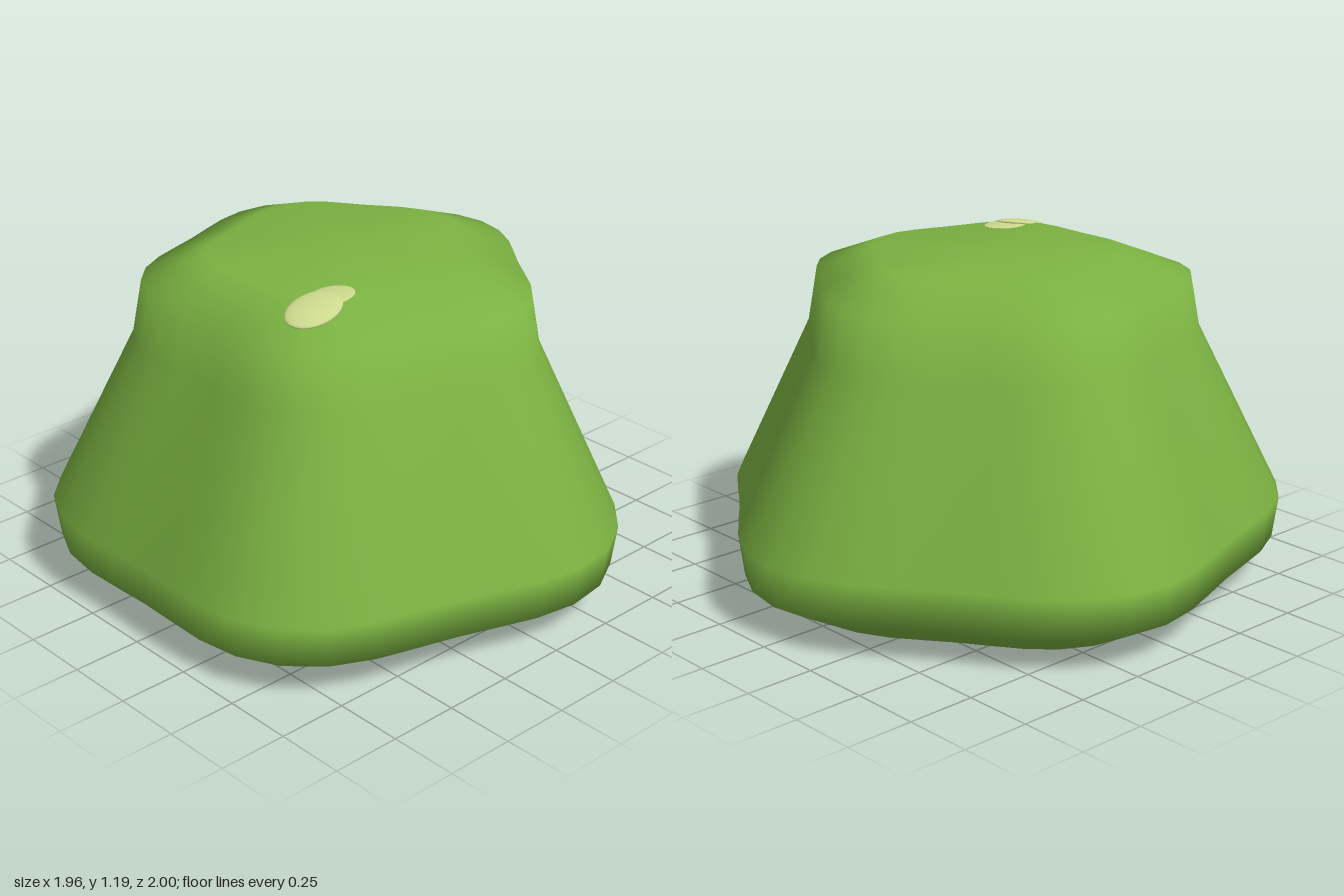
import * as THREE from 'three';

const SEGMENTS = 40;
const CENTRE_X = -0.055;

// Five-lobed outline radius at the widest level
const lobeRadius = (a) => 0.975 + 0.055 * Math.cos(5 * a);

// Stacks scaled copies of the outline, [height, scale], with a pole at each end
function lobedBody(levels) {
  const pos = [];
  const index = [];
  for (const [y, s] of levels) {
    for (let i = 0; i < SEGMENTS; i++) {
      const a = (i / SEGMENTS) * Math.PI * 2;
      const r = lobeRadius(a) * s;
      pos.push(r * Math.cos(a), y, r * Math.sin(a));
    }
  }
  const bottom = levels.length * SEGMENTS;
  const top = bottom + 1;
  pos.push(0, levels[0][0], 0, 0, levels[levels.length - 1][0], 0);
  const lastRing = (levels.length - 1) * SEGMENTS;
  for (let i = 0; i < SEGMENTS; i++) {
    const n = (i + 1) % SEGMENTS;
    for (let j = 0; j < lastRing; j += SEGMENTS) {
      const a = j + i, b = j + n, c = a + SEGMENTS, d = b + SEGMENTS;
      index.push(a, c, b, b, c, d);
    }
    index.push(bottom, i, n);
    index.push(top, lastRing + n, lastRing + i);
  }
  const g = new THREE.BufferGeometry();
  g.setAttribute('position', new THREE.Float32BufferAttribute(pos, 3));
  g.setIndex(index);
  g.computeVertexNormals();
  return g;
}

export function createModel() {
  const group = new THREE.Group();
  const green = new THREE.MeshStandardMaterial({ name: 'leaf green', color: 0x7cb342 });
  const pale = new THREE.MeshStandardMaterial({ name: 'pale green', color: 0xcbd88c });

  // Lobed, tapering body
  const body = new THREE.Mesh(lobedBody([
    [0, 0.753], [0.13, 0.98], [0.28, 1], [0.89, 0.703], [1.09, 0.667], [1.175, 0.452],
  ]), green);
  body.name = 'body';
  body.position.x = CENTRE_X;
  group.add(body);

  // Pale spot: one flattened dome on the sloping shoulder, one on the flat top
  const spot = new THREE.Group();
  spot.name = 'paleSpot';
  const dome = (name, centre, size, normal) => {
    const m = new THREE.Mesh(new THREE.SphereGeometry(1, 24, 16), pale);
    m.name = name;
    m.position.set(...centre);
    m.scale.set(...size);
    m.quaternion.setFromUnitVectors(
      new THREE.Vector3(0, 1, 0), new THREE.Vector3(...normal).normalize());
    spot.add(m);
  };
  dome('shoulderSpot', [-0.452, 1.158, 0.298], [0.108, 0.018, 0.08], [-0.23, 0.96, 0.16]);
  dome('topSpot', [-0.36, 1.174, 0.28], [0.09, 0.007, 0.065], [-0.03, 1, 0.01]);
  group.add(spot);

  return group;
}
